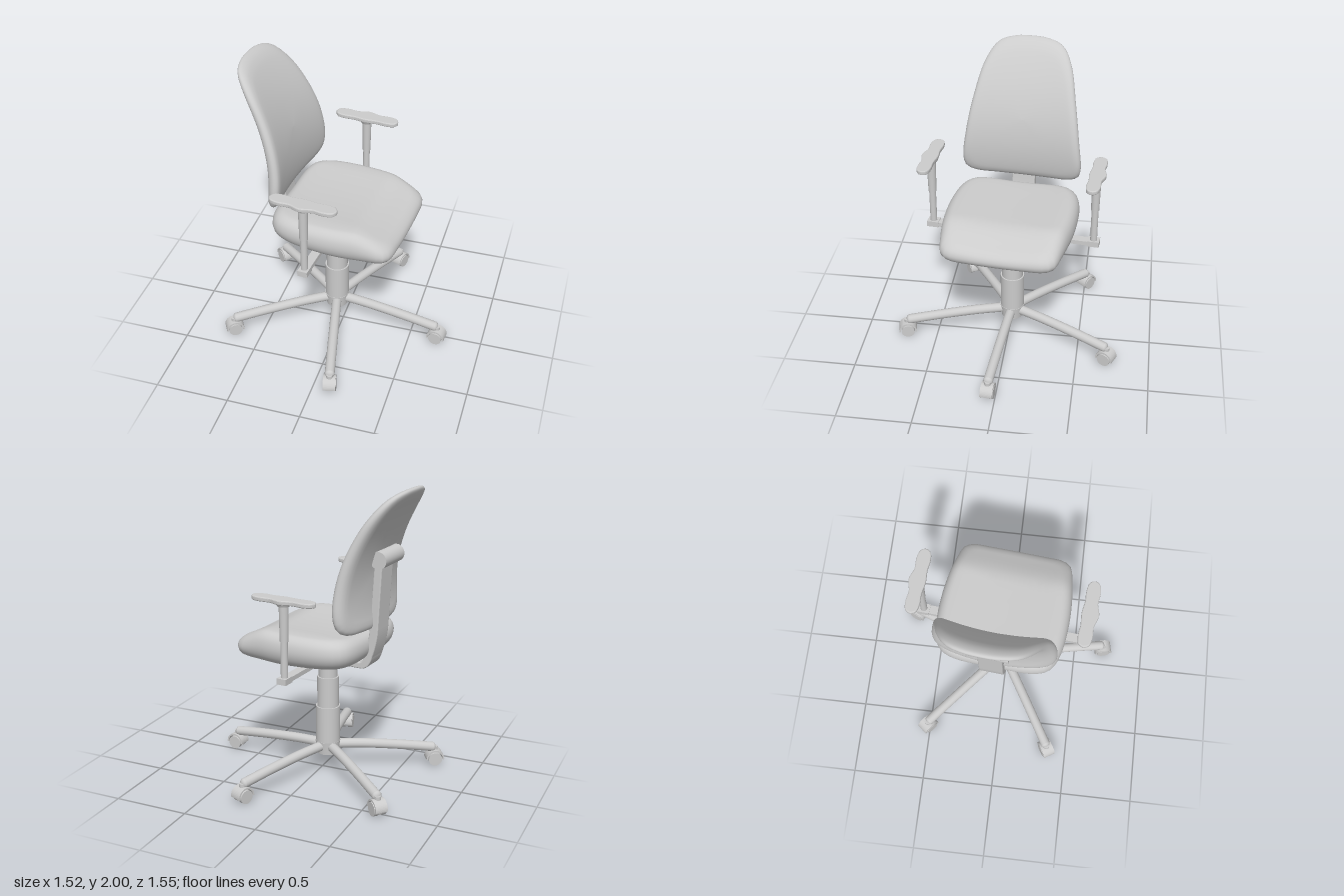
import * as THREE from 'three';

const grey = new THREE.MeshStandardMaterial({ color: 0xcccccc, side: THREE.DoubleSide });
const V2 = (x, y) => new THREE.Vector2(x, y);
const V3 = (x, y, z) => new THREE.Vector3(x, y, z);

function add(parent, name, geometry, x = 0, y = 0, z = 0) {
  const m = new THREE.Mesh(geometry, grey);
  m.name = name;
  m.position.set(x, y, z);
  parent.add(m);
  return m;
}

// Upright cylinder between two heights
function post(parent, name, rTop, rBottom, y0, y1, x = 0, z = 0) {
  return add(parent, name, new THREE.CylinderGeometry(rTop, rBottom, y1 - y0, 32), x, (y0 + y1) / 2, z);
}

// Extrusion centred on its depth
function slab(shape, depth, bevel = 0, curveSegments = 12) {
  const g = new THREE.ExtrudeGeometry(shape, {
    depth: depth - 2 * bevel, bevelEnabled: bevel > 0, bevelSize: bevel, bevelThickness: bevel,
    bevelOffset: -bevel, bevelSegments: 3, curveSegments,
  });
  return g.translate(0, 0, -(depth - 2 * bevel) / 2);
}

// Pillow: rings of a counter-clockwise outline, scaled by s and placed at depth h
function cushion(outline, centre, profile, place, n = 72) {
  const curve = new THREE.CatmullRomCurve3(outline.map(([u, v]) => V3(u, v, 0)), true, 'centripetal');
  const pts = curve.getSpacedPoints(n).slice(0, n);
  const rim = new THREE.SplineCurve(profile.map(([s, h]) => V2(s, h))).getPoints(36);
  const pos = [], idx = [];
  rim.forEach(({ x, y }, i) => {
    const s = i === 0 || i === rim.length - 1 ? 0.0001 : x;
    for (const p of pts) {
      const q = place(centre[0] + (p.x - centre[0]) * s, centre[1] + (p.y - centre[1]) * s, y);
      pos.push(q.x, q.y, q.z);
    }
  });
  for (let i = 0; i < rim.length - 1; i++) for (let j = 0; j < n; j++) {
    const k = (j + 1) % n, a = i * n + j, b = i * n + k, c = a + n, d = b + n;
    idx.push(a, c, d, a, d, b);
  }
  const g = new THREE.BufferGeometry();
  g.setAttribute('position', new THREE.Float32BufferAttribute(pos, 3));
  g.setIndex(idx);
  g.computeVertexNormals();
  return g;
}

// Completes a half outline whose first and last points lie on the mirror line
function mirrored(half, axis) {
  const other = half.slice(1, -1).reverse().map(p => p.map((c, i) => (i === axis ? -c : c)));
  return [...half, ...other];
}

function caster() {
  const g = new THREE.Group();
  g.name = 'caster';
  const hood = new THREE.Shape();
  hood.absarc(0, 0, 0.062, -0.1, Math.PI + 0.1, false);
  hood.absarc(0, 0, 0.051, Math.PI + 0.1, -0.1, true);
  add(g, 'casterHood', slab(hood, 0.084), 0, 0.048, 0);
  for (const s of [-1, 1]) {
    add(g, 'casterWheel', new THREE.CylinderGeometry(0.046, 0.046, 0.034, 24).rotateX(Math.PI / 2), 0, 0.046, s * 0.027);
  }
  add(g, 'casterAxle', new THREE.CylinderGeometry(0.02, 0.02, 0.08, 16).rotateX(Math.PI / 2), 0, 0.048, 0);
  post(g, 'casterStem', 0.022, 0.022, 0.06, 0.13);
  return g;
}

function starBase() {
  const g = new THREE.Group();
  g.name = 'starBase';
  post(g, 'hub', 0.085, 0.075, 0.13, 0.22);
  const path = new THREE.CatmullRomCurve3([V3(0.02, 0.187, 0), V3(0.25, 0.177, 0), V3(0.5, 0.154, 0), V3(0.73, 0.126, 0)]);
  for (let i = 0; i < 5; i++) {
    const leg = new THREE.Group();
    leg.name = 'leg';
    leg.rotation.y = i * Math.PI * 2 / 5;
    add(leg, 'legBeam', new THREE.TubeGeometry(path, 24, 0.033, 14));
    add(leg, 'legTip', new THREE.SphereGeometry(0.033, 14, 10).scale(0.7, 1, 1), 0.73, 0.126, 0);
    const c = caster();
    c.position.x = 0.745;
    leg.add(c);
    g.add(leg);
  }
  return g;
}

function armrest(side) {
  const g = new THREE.Group();
  g.name = 'armrest';
  const z = side * 0.553;
  add(g, 'armBar', new THREE.BoxGeometry(0.06, 0.03, 0.42), 0, 0.825, side * 0.36);
  add(g, 'armBracket', new THREE.BoxGeometry(0.066, 0.04, 0.08), 0, 0.825, z);
  post(g, 'armPost', 0.023, 0.023, 0.84, 1.12, 0, z);
  post(g, 'armSleeve', 0.031, 0.027, 1.08, 1.32, 0, z);
  post(g, 'armCollar', 0.05, 0.04, 1.308, 1.33, 0, z);
  // Pad with rounded ends, narrow waists and an outward bulge
  const half = [[-0.225, 0], [-0.205, 0.035], [-0.15, 0.047], [-0.08, 0.042], [-0.035, 0.055], [0, 0.062],
    [0.035, 0.055], [0.08, 0.042], [0.15, 0.047], [0.205, 0.035], [0.225, 0], [0.205, -0.035], [0.15, -0.046],
    [0.08, -0.042], [0, -0.05], [-0.08, -0.042], [-0.15, -0.046], [-0.205, -0.035], [-0.225, 0]];
  const pad = new THREE.Shape();
  pad.moveTo(...half[0]);
  pad.splineThru(half.slice(1).map(p => V2(...p)));
  const m = add(g, 'armPad', slab(pad, 0.03, 0.008, 4), 0, 1.34, z);
  m.rotation.x = side * Math.PI / 2;
  return g;
}

export function createModel() {
  const model = new THREE.Group();
  model.name = 'officeChair';
  const chair = new THREE.Group();
  chair.name = 'chair';
  chair.position.set(-0.05, 0, -0.02);
  chair.rotation.y = -0.0925; // the whole chair is turned a little
  model.add(chair);

  chair.add(starBase());

  // Gas lift column
  post(chair, 'columnLower', 0.082, 0.082, 0.21, 0.47);
  post(chair, 'columnMiddle', 0.073, 0.073, 0.47, 0.68);
  post(chair, 'columnUpper', 0.063, 0.063, 0.68, 0.81);
  post(chair, 'seatPlate', 0.2, 0.2, 0.802, 0.85);

  // Seat, falling away at the front edge and dished across the middle
  const seatOutline = mirrored([[0.508, 0], [0.505, 0.2], [0.498, 0.315], [0.468, 0.37], [0.36, 0.402], [0.08, 0.437],
    [-0.19, 0.42], [-0.29, 0.375], [-0.335, 0.29], [-0.345, 0]], 1);
  const seatProfile = [[0, 1], [0.4, 1], [0.76, 1], [0.89, 0.93], [0.97, 0.62], [1, 0.15], [0.985, -0.3],
    [0.93, -0.68], [0.83, -0.92], [0.68, -1], [0, -1]];
  add(chair, 'seat', cushion(seatOutline, [0.08, 0], seatProfile, (x, z, h) => {
    const dish = 0.015 * Math.max(0, 1 - (z / 0.3) ** 2);
    const top = 1.062 - dish - 0.085 * THREE.MathUtils.smoothstep(x, 0.24, 0.52);
    const bottom = 0.835 + 0.02 * THREE.MathUtils.smoothstep(-x, -0.25, 0.3);
    return V3(x, THREE.MathUtils.lerp(bottom, top, (h + 1) / 2), -z);
  }));

  // Backrest, leaning back towards the top and hollow across its width
  const backOutline = mirrored([[0, 1.083], [0.2, 1.088], [0.32, 1.1], [0.385, 1.135], [0.406, 1.2], [0.385, 1.42],
    [0.345, 1.65], [0.29, 1.86], [0.22, 1.96], [0.12, 1.993], [0, 2]], 0);
  const backProfile = [[0, 1], [0.45, 1], [0.8, 1], [0.91, 0.9], [0.97, 0.62], [1, 0.1], [0.985, -0.45],
    [0.94, -0.8], [0.86, -0.98], [0.7, -1], [0, -1]];
  add(chair, 'backrest', cushion(backOutline, [0, 1.52], backProfile, (z, y, h) => {
    const hollow = 0.045 * Math.max(0, 1 - (z / 0.4) ** 2);
    return V3(-0.272 - 0.57 * (y - 1.3) ** 2 - hollow + 0.043 * h, y, -z);
  }));

  // Bent bar that carries the backrest
  const bar = new THREE.Shape();
  bar.moveTo(-0.1, 0.803);
  bar.lineTo(-0.29, 0.803);
  bar.quadraticCurveTo(-0.345, 0.81, -0.365, 0.89);
  bar.quadraticCurveTo(-0.4, 0.99, -0.405, 1.08);
  bar.lineTo(-0.43, 1.55);
  bar.lineTo(-0.375, 1.55);
  bar.lineTo(-0.345, 1.08);
  bar.quadraticCurveTo(-0.335, 0.96, -0.31, 0.9);
  bar.quadraticCurveTo(-0.3, 0.85, -0.27, 0.845);
  bar.lineTo(-0.1, 0.845);
  add(chair, 'backSupport', slab(bar, 0.16, 0.008));
  add(chair, 'backRoller', new THREE.CylinderGeometry(0.056, 0.056, 0.26, 32).rotateX(Math.PI / 2), -0.425, 1.55, 0);

  for (const side of [-1, 1]) chair.add(armrest(side));
  return model;
}
